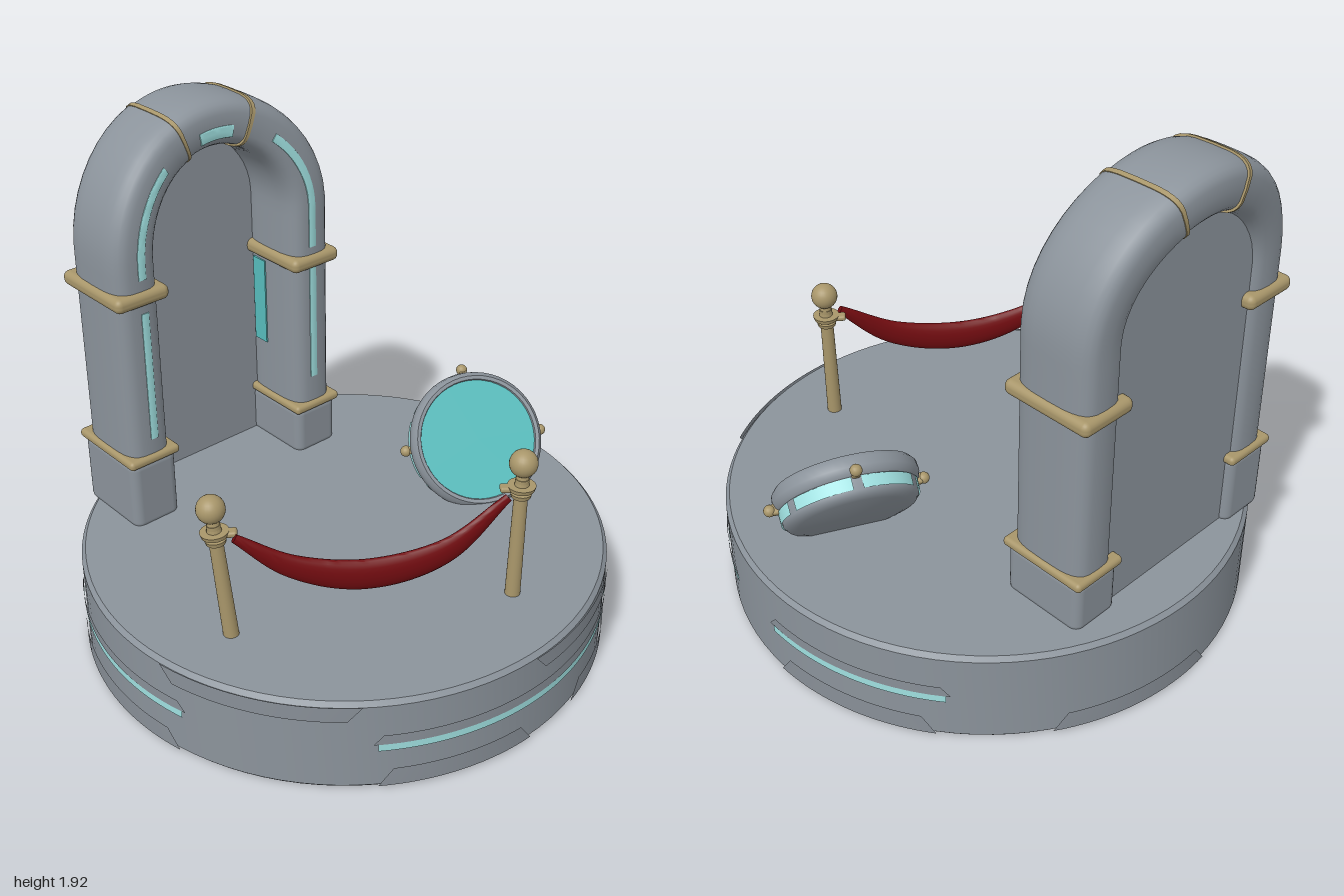
import * as THREE from 'three';
import { toCreasedNormals } from 'three/addons/utils/BufferGeometryUtils.js';
import { RoundedBoxGeometry } from 'three/addons/geometries/RoundedBoxGeometry.js';

const V = (x, y, z) => new THREE.Vector3(x, y, z);
const rad = THREE.MathUtils.degToRad;
const mat = (name, color, side = THREE.FrontSide) => {
  const m = new THREE.MeshStandardMaterial({ color, side });
  m.name = name;
  return m;
};

// Sweep a superellipse section along frames { p, N, B, hn, hb } where N x B points along the path
function loft(frame, steps, power = 3.5, sides = 28) {
  const pos = [], idx = [];
  const bend = (v) => Math.sign(v) * Math.pow(Math.abs(v), 2 / power);
  for (let i = 0; i <= steps; i++) {
    const { p, N, B, hn, hb } = frame(i / steps);
    for (let j = 0; j < sides; j++) {
      const a = (j / sides) * Math.PI * 2;
      const q = p.clone().addScaledVector(N, hn * bend(Math.cos(a))).addScaledVector(B, hb * bend(Math.sin(a)));
      pos.push(q.x, q.y, q.z);
    }
  }
  for (let i = 0; i < steps; i++) for (let j = 0; j < sides; j++) {
    const k = (j + 1) % sides, a = i * sides, b = a + sides;
    idx.push(a + j, a + k, b + k, a + j, b + k, b + j);
  }
  const e = steps * sides;
  for (let j = 1; j < sides - 1; j++) idx.push(0, j + 1, j, e, e + j, e + j + 1);
  const g = new THREE.BufferGeometry();
  g.setAttribute('position', new THREE.Float32BufferAttribute(pos, 3));
  g.setIndex(idx);
  return toCreasedNormals(g, rad(45));
}

export function createModel() {
  const model = new THREE.Group();
  model.name = 'archDisplay';
  const stone = mat('stoneGrey', 0x8b939b);
  const plate = mat('stoneGreyPlate', 0x888f97, THREE.DoubleSide);
  const glow = mat('paleCyan', 0x9fe0e0, THREE.DoubleSide);
  const pool = mat('teal', 0x57bcbc, THREE.DoubleSide);
  const gold = mat('oldGold', 0xa8966a);
  const red = mat('ropeRed', 0x720c10);
  const add = (parent, name, geo, material, x = 0, y = 0, z = 0) => {
    const m = new THREE.Mesh(geo, material);
    m.name = name;
    m.position.set(x, y, z);
    parent.add(m);
    return m;
  };

  // Round base
  const base = new THREE.Group();
  base.name = 'base';
  model.add(base);
  const rim = [[0, 0], [0.98, 0], [0.99, 0.012], [0.99, 0.355], [0.975, 0.372], [0, 0.372]];
  add(base, 'baseDisc', toCreasedNormals(new THREE.LatheGeometry(rim.map(([x, y]) => new THREE.Vector2(x, y)), 96), rad(30)), stone);
  // Curved plates on the base wall, ends slanted by a taper angle at the top or bottom edge
  const wallPlate = (name, a0, a1, y0, y1, r, material, taperLow = 0, taperHigh = 0) => {
    const g = new THREE.CylinderGeometry(r, r, y1 - y0, Math.ceil((a1 - a0) / 2), 1, true, rad(a0), rad(a1 - a0));
    const p = g.attributes.position, mid = rad((a0 + a1) / 2), half = (a1 - a0) / 2;
    for (let i = 0; i < p.count; i++) {
      const f = 1 - (p.getY(i) < 0 ? taperLow : taperHigh) / half;
      let d = Math.atan2(p.getX(i), p.getZ(i)) - mid;
      d = Math.atan2(Math.sin(d), Math.cos(d)) * f;
      p.setX(i, r * Math.sin(mid + d));
      p.setZ(i, r * Math.cos(mid + d));
    }
    add(base, name, g, material, 0, (y0 + y1) / 2, 0);
  };
  for (const [a0, a1] of [[4, 109], [126, 167], [-85, -36]]) {
    wallPlate('lightStrip', a0, a1, 0.165, 0.193, 0.995, glow);
    wallPlate('stripLip', a0 - 1, a1 + 1, 0.195, 0.235, 0.997, plate, 0, 2);
  }
  for (const [a0, a1] of [[-41, 1], [38, 73]]) wallPlate('upperPlate', a0, a1, 0.3, 0.362, 0.998, plate, 3, 0);
  for (const [a0, a1] of [[4, 38], [52, 88], [128, 165], [188, 226], [-84, -37]]) wallPlate('lowerPlate', a0, a1, 0.01, 0.085, 0.998, plate, 0, 3);

  // Arch, built facing +z and then turned towards the middle of the base
  const arch = new THREE.Group();
  arch.name = 'arch';
  arch.position.set(-0.5, 0, -0.45);
  arch.rotation.y = 0.686;
  model.add(arch);
  const R = 0.4, floor = 0.37, spring = 1.43, leg = spring - floor, total = 2 * leg + Math.PI * R;
  // Point on the arch centre line at distance s; the crown bows slightly backwards
  const at = (s) => {
    const a = THREE.MathUtils.clamp((s - leg) / R, 0, Math.PI);
    const u = -R * Math.cos(a);
    const y = s < leg ? floor + s : s > total - leg ? floor + total - s : spring + R * Math.sin(a);
    return { p: V(u, y, -0.05 * (1 - (u / R) ** 2)), N: V(-Math.cos(a), Math.sin(a), 0), B: V(0, 0, 1) };
  };
  const along = (name, material, s0, s1, hn, hb, steps, dn = 0, db = 0, power = 3.5) =>
    add(arch, name, loft((t) => {
      const f = at(s0 + (s1 - s0) * t);
      f.p.addScaledVector(f.N, dn).addScaledVector(f.B, db);
      return { ...f, hn, hb };
    }, steps, power), material);
  const angle = (deg) => leg + R * rad(deg);
  along('leftLegAndRise', stone, 0, angle(69), 0.096, 0.16, 30);
  along('keystone', stone, angle(69), angle(111), 0.092, 0.155, 12);
  along('rightLegAndRise', stone, angle(111), total, 0.096, 0.16, 30);
  for (const d of [69, 111]) along('seamBand', gold, angle(d - 1), angle(d + 1), 0.099, 0.163, 2);
  // Inlaid light strips on the front face
  const front = 0.159;
  along('legStrip', glow, 0.36, 0.88, 0.016, 0.004, 2, -0.01, front, 8);
  along('legStrip', glow, total - 0.83, total - 0.33, 0.016, 0.004, 2, -0.01, front, 8);
  along('riseStrip', glow, 1.01, angle(52), 0.016, 0.004, 16, -0.01, front, 8);
  along('riseStrip', glow, angle(128), total - 0.9, 0.016, 0.004, 16, -0.01, front, 8);
  along('keystoneStrip', glow, angle(79), angle(101), 0.022, 0.005, 8, -0.025, 0.153, 8);
  // Feet and gold collars
  for (const [u, low, high] of [[-R, 0.65, 1.31], [R, 0.57, 1.21]]) {
    const h = low - floor;
    add(arch, 'foot', new RoundedBoxGeometry(0.2, h + 0.02, 0.33, 3, 0.035), stone, u, floor + h / 2 - 0.01, 0);
    add(arch, 'lowerCollar', new RoundedBoxGeometry(0.222, 0.036, 0.352, 3, 0.016), gold, u, low, 0);
    add(arch, 'upperCollar', new RoundedBoxGeometry(0.226, 0.056, 0.358, 3, 0.024), gold, u, high, 0);
    // Teal panel on the inner side of the leg
    add(arch, 'innerPanel', new THREE.BoxGeometry(0.008, 0.36, 0.07), pool, u - Math.sign(u) * 0.097, high - 0.22, -0.06);
  }
  // Back wall closing the opening
  const door = new THREE.Shape();
  door.moveTo(-0.33, floor).lineTo(0.33, floor).lineTo(0.33, spring).absarc(0, spring, 0.33, 0, Math.PI, false).lineTo(-0.33, floor);
  add(arch, 'backWall', new THREE.ExtrudeGeometry(door, { depth: 0.02, bevelEnabled: false, curveSegments: 32 }), stone, 0, 0, -0.135);

  // Leaning round mirror
  const mirror = new THREE.Group();
  mirror.name = 'roundMirror';
  mirror.position.set(0.525, 0.54, -0.31);
  mirror.rotation.order = 'YXZ';
  mirror.rotation.set(rad(55), rad(14), 0);
  model.add(mirror);
  const shell = [[0, -0.085], [0.2, -0.085], [0.235, -0.075], [0.247, -0.06], [0.25, -0.01], [0.262, 0],
    [0.268, 0.02], [0.265, 0.05], [0.25, 0.068], [0.236, 0.066], [0.23, 0.05], [0, 0.05]];
  add(mirror, 'mirrorShell', toCreasedNormals(new THREE.LatheGeometry(shell.map(([x, y]) => new THREE.Vector2(x, y)), 48), rad(40)), stone);
  const face = add(mirror, 'mirrorFace', new THREE.CircleGeometry(0.234, 48), pool, 0, 0.058, 0);
  face.rotation.x = -Math.PI / 2;
  for (let i = 0; i < 6; i++)
    add(mirror, 'sideGlow', new THREE.CylinderGeometry(0.254, 0.252, 0.045, 10, 1, true, rad(i * 60 + 4), rad(52)), glow, 0, -0.035, 0);
  for (const [x, z] of [[-1, 0], [1, 0], [0, -1]]) {
    add(mirror, 'knob', new THREE.SphereGeometry(0.022, 16, 12), gold, x * 0.282, 0, z * 0.282);
    add(mirror, 'knobMount', new RoundedBoxGeometry(0.03, 0.04, 0.03, 2, 0.008), gold, x * 0.262, 0, z * 0.262);
  }

  // Rope posts
  const post = (name, foot, top, ropeSide) => {
    const g = new THREE.Group();
    g.name = name;
    g.position.copy(foot);
    const dir = top.clone().sub(foot), h = dir.length();
    g.quaternion.setFromUnitVectors(V(0, 1, 0), dir.normalize());
    add(g, 'pole', new THREE.CylinderGeometry(0.024, 0.028, h - 0.06, 20), gold, 0, (h - 0.06) / 2, 0);
    add(g, 'ball', new THREE.SphereGeometry(0.05, 24, 16), gold, 0, h, 0);
    add(g, 'neck', new THREE.CylinderGeometry(0.018, 0.026, 0.05, 16), gold, 0, h - 0.06, 0);
    add(g, 'cap', new THREE.CylinderGeometry(0.05, 0.046, 0.016, 20), gold, 0, h - 0.095, 0);
    add(g, 'lowerRing', new THREE.CylinderGeometry(0.038, 0.034, 0.016, 20), gold, 0, h - 0.125, 0);
    add(g, 'ropeHook', new RoundedBoxGeometry(0.06, 0.022, 0.04, 2, 0.009), gold, ropeSide * 0.045, h - 0.1, 0);
    model.add(g);
  };
  post('leftHandPost', V(-0.415, 0.365, 0.62), V(-0.463, 0.885, 0.61), 1);
  post('rightHandPost', V(0.58, 0.365, 0.44), V(0.588, 0.915, 0.43), -1);

  // Sagging rope, thick in the middle
  const path = new THREE.CatmullRomCurve3([V(-0.39, 0.785, 0.637), V(-0.2, 0.655, 0.625), V(0.05, 0.596, 0.6), V(0.32, 0.65, 0.555), V(0.535, 0.815, 0.485)]);
  add(model, 'rope', loft((t) => {
    const T = path.getTangentAt(t);
    const N = V(0, 1, 0).addScaledVector(T, -T.y).normalize();
    const w = Math.sin(Math.PI * t);
    return { p: path.getPointAt(t), N, B: T.clone().cross(N), hn: 0.016 + 0.045 * w, hb: 0.012 + 0.014 * w };
  }, 40, 2, 20), red);

  return model;
}
